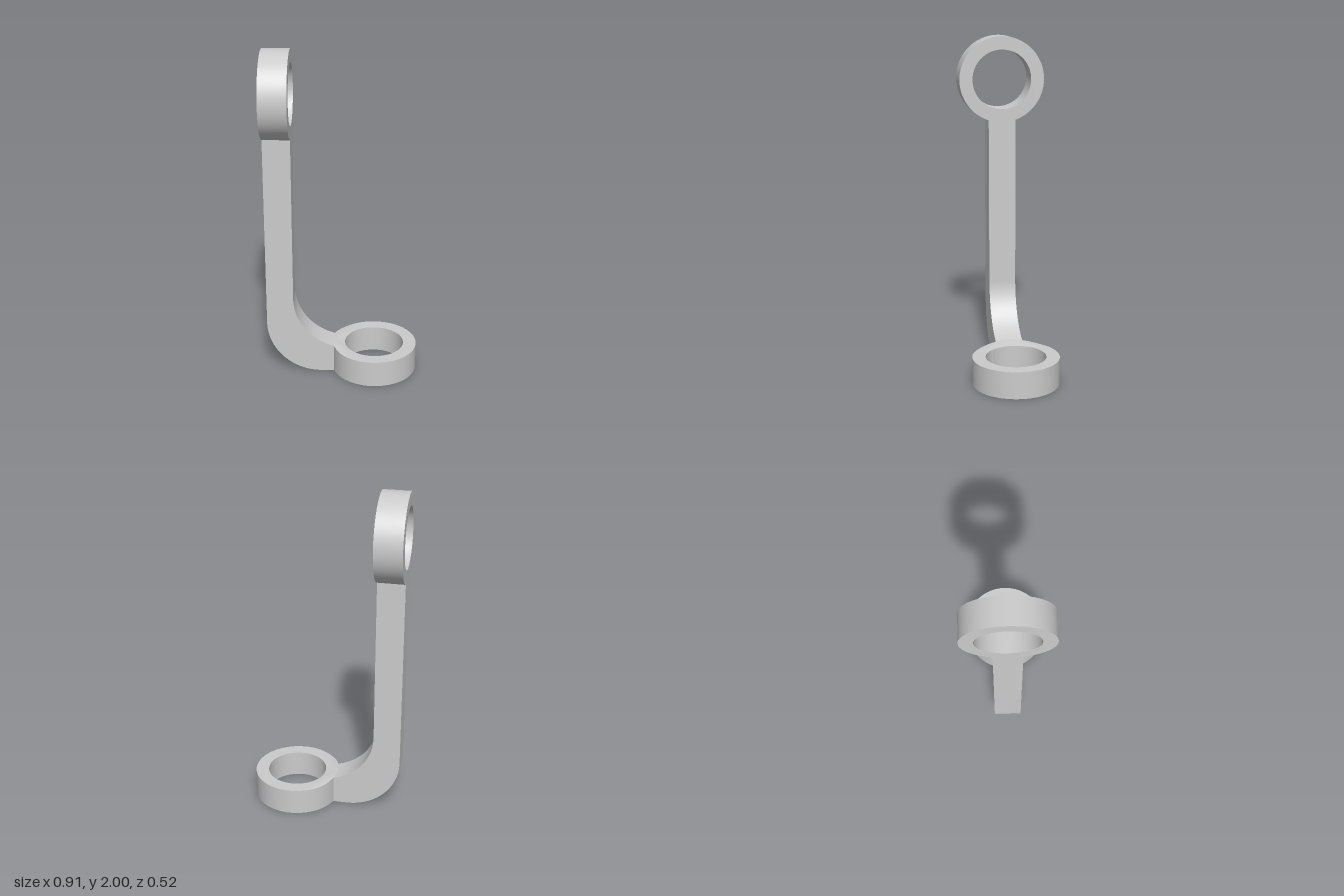
import * as THREE from 'three';
import { toCreasedNormals } from 'three/addons/utils/BufferGeometryUtils.js';

const BACK = -0.455;                   // outer face of the upright
const THICK = 0.162;                   // thickness of bar and rings
const OUTER = 0.258, INNER = 0.179;    // ring radii
const BEND = 0.325;                    // radius of both bend surfaces
const IX = BACK + THICK + BEND, IY = THICK + BEND; // centre of the inner bend
const RING_X = 0.197, RING_Y = 2 - OUTER;

const material = new THREE.MeshStandardMaterial({ color: 0xcccccc });

function addMesh(group, geometry, name) {
  const mesh = new THREE.Mesh(toCreasedNormals(geometry, 0.5), material);
  mesh.name = name;
  group.add(mesh);
}

// Flat ring in the xy plane, thickness along +z
function ringGeometry() {
  const shape = new THREE.Shape().absarc(0, 0, OUTER, 0, Math.PI * 2, false);
  shape.holes.push(new THREE.Path().absarc(0, 0, INNER, 0, Math.PI * 2, true));
  return new THREE.ExtrudeGeometry(shape, { depth: THICK, bevelEnabled: false, curveSegments: 80 });
}

export function createModel() {
  const group = new THREE.Group();
  group.name = 'bracket';

  // L-shaped bar; both ends stop inside the ring walls
  const endX = -0.045, endY = 1.5;
  const profile = new THREE.Shape();
  profile.moveTo(BACK, endY);
  profile.lineTo(BACK, BEND);
  profile.absarc(BACK + BEND, BEND, BEND, Math.PI, Math.PI * 1.5, false);
  profile.lineTo(endX, 0);
  profile.absarc(IX, IY, BEND, Math.PI * 1.5 - Math.asin((IX - endX) / BEND), Math.PI, true);
  profile.lineTo(BACK + THICK, endY);
  const bar = new THREE.ExtrudeGeometry(profile, { depth: 0.164, bevelEnabled: false, curveSegments: 40 });
  bar.translate(0, 0, -0.082);
  addMesh(group, bar, 'bentBar');

  // Upright ring, its hole running along x
  const upper = ringGeometry();
  upper.rotateY(Math.PI / 2);
  upper.translate(BACK, RING_Y, 0);
  addMesh(group, upper, 'upperRing');

  // Lying ring, its top edge rising to follow the inner bend
  const lower = ringGeometry();
  lower.rotateX(-Math.PI / 2);
  lower.translate(RING_X, 0, 0);
  const p = lower.attributes.position;
  for (let i = 0; i < p.count; i++) {
    const dx = IX - p.getX(i);
    if (p.getY(i) > THICK / 2 && dx > 0) p.setY(i, IY - Math.sqrt(BEND * BEND - dx * dx));
  }
  addMesh(group, lower, 'lowerRing');

  return group;
}
